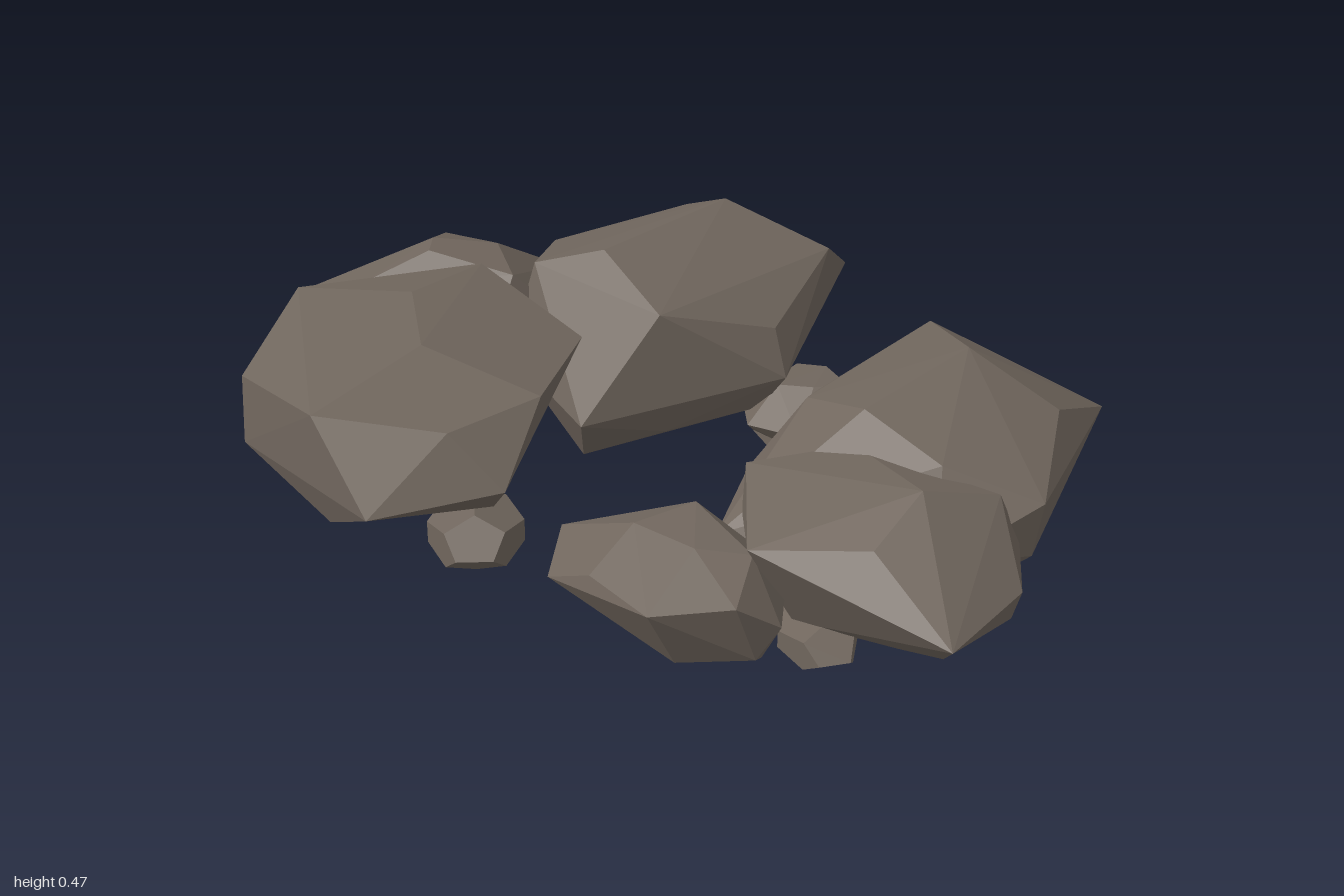
import * as THREE from 'three';
import { ConvexGeometry } from 'three/addons/geometries/ConvexGeometry.js';

const stone = new THREE.MeshStandardMaterial({ color: 0x70665d, flatShading: true });
stone.name = 'stone';

// A chiselled boulder: the hull of its crown, waist and foot corners (x, y, z)
function boulder(name, crown, waist, foot) {
  const points = [...crown, ...waist, ...foot].map((p) => new THREE.Vector3(...p));
  const mesh = new THREE.Mesh(new ConvexGeometry(points), stone);
  mesh.name = name;
  return mesh;
}

// A small flattened, faceted pebble
function pebble(name, [x, y, z], [sx, sy, sz], turn) {
  const mesh = new THREE.Mesh(new THREE.DodecahedronGeometry(1), stone);
  mesh.name = name;
  mesh.position.set(x, y, z);
  mesh.scale.set(sx, sy, sz);
  mesh.rotation.y = turn;
  return mesh;
}

export function createModel() {
  const ring = new THREE.Group();
  ring.name = 'rockRing';

  // Large boulders
  ring.add(boulder('frontRightBoulder',
    [[-0.78, 0.38, 0.35], [-0.53, 0.4, 0.02], [-0.5, 0.43, 0.26], [-0.3, 0.435, 0.42], [-0.31, 0.39, 0.72], [-0.09, 0.36, 0.55], [-0.03, 0.38, 0.34], [-0.17, 0.36, 0.07]],
    [[-0.83, 0.25, 0.2], [-0.63, 0.33, 0.64], [-0.1, 0.25, 0.77], [0.03, 0.25, 0.51], [-0.5, 0.25, -0.02]],
    [[-0.78, 0.16, 0.36], [-0.63, 0.17, 0.65], [-0.31, 0.12, 0.69], [-0.55, 0.05, 0.25], [-0.27, 0.06, 0.25], [-0.1, 0.12, 0.42]]));

  ring.add(boulder('backRightBoulder',
    [[-0.24, 0.475, -0.49], [-0.28, 0.465, -0.12], [-0.42, 0.38, -0.56], [-0.01, 0.385, -0.59], [-0.06, 0.4, -0.06], [-0.43, 0.41, -0.05]],
    [[-0.37, 0.26, -0.73], [-0.1, 0.25, -0.775], [0.07, 0.32, -0.3], [0.12, 0.22, -0.28], [-0.62, 0.31, -0.31], [-0.13, 0.17, 0.12], [-0.45, 0.2, 0.02]],
    [[-0.38, 0.05, -0.45], [-0.15, 0.02, -0.47], [-0.22, 0.02, 0.02], [-0.53, 0.12, -0.25], [-0.06, 0.1, -0.08], [0.05, 0.12, -0.28]]));

  ring.add(boulder('sideRightBoulder',
    [[-0.71, 0.4, 0], [-0.66, 0.405, 0.06], [-0.6, 0.385, -0.1], [-0.83, 0.32, -0.15], [-0.45, 0.39, 0], [-0.75, 0.34, 0.18]],
    [[-1, 0.225, 0.14], [-0.92, 0.25, -0.1], [-0.82, 0.24, -0.2], [-0.6, 0.25, -0.31], [-0.35, 0.22, -0.15], [-0.4, 0.22, 0.15], [-0.75, 0.2, 0.21]],
    [[-0.82, 0.1, 0.05], [-0.72, 0.03, -0.01], [-0.55, 0.04, 0.08], [-0.55, 0.06, -0.13], [-0.75, 0.09, -0.12]]));

  ring.add(boulder('backLeftBoulder',
    [[0.57, 0.445, -0.32], [0.36, 0.37, -0.48], [0.77, 0.35, -0.37], [0.53, 0.41, -0.02], [0.36, 0.36, -0.05], [0.74, 0.37, 0]],
    [[0.47, 0.25, -0.63], [0.74, 0.25, -0.595], [0.85, 0.3, -0.2], [0.92, 0.31, -0.1], [0.9, 0.18, -0.1], [0.26, 0.27, -0.22], [0.21, 0.2, -0.2], [0.28, 0.2, 0.04], [0.37, 0.17, 0.25], [0.8, 0.2, 0.08]],
    [[0.5, 0.14, -0.45], [0.72, 0.14, -0.42], [0.78, 0.06, -0.08], [0.42, 0.06, -0.15], [0.42, 0.06, 0.03], [0.65, 0.05, 0.03]]));

  ring.add(boulder('sideLeftBoulder',
    [[0.78, 0.385, 0.12], [0.53, 0.34, 0.01], [0.78, 0.32, 0.27], [0.86, 0.34, -0.03], [0.38, 0.31, 0.17]],
    [[0.99, 0.22, 0.07], [0.97, 0.15, 0.07], [1, 0.21, 0.31], [0.56, 0.28, 0.38], [0.38, 0.2, 0.18], [0.88, 0.22, -0.08], [0.55, 0.2, -0.06]],
    [[0.92, 0.11, 0.22], [0.9, 0.11, -0.04], [0.78, 0.04, 0.17], [0.6, 0.08, 0.28], [0.55, 0.06, 0.08], [0.75, 0.04, 0.02]]));

  // Smaller rocks in the gaps
  ring.add(boulder('frontLeftRock',
    [[0.31, 0.26, 0.43], [0.36, 0.27, 0.3], [0.46, 0.26, 0.42], [0.55, 0.25, 0.35]],
    [[0.11, 0.17, 0.43], [0.2, 0.15, 0.565], [0.31, 0.2, 0.56], [0.48, 0.19, 0.58], [0.61, 0.21, 0.47], [0.65, 0.14, 0.38], [0.34, 0.16, 0.2], [0.55, 0.16, 0.24]],
    [[0.2, 0.08, 0.46], [0.31, 0.04, 0.47], [0.48, 0.04, 0.5], [0.62, 0.07, 0.42], [0.57, 0.01, 0.34], [0.3, 0.05, 0.34]]));

  ring.add(boulder('backRock',
    [[0.04, 0.17, -0.42], [0.11, 0.18, -0.44], [0.16, 0.19, -0.33], [0.21, 0.19, -0.39], [0.08, 0.18, -0.3]],
    [[0.02, 0.12, -0.45], [0.12, 0.12, -0.47], [0.23, 0.13, -0.42], [0.26, 0.13, -0.33], [0.2, 0.12, -0.23], [0.07, 0.11, -0.21], [-0.02, 0.1, -0.3]],
    [[0.06, 0.05, -0.39], [0.18, 0.05, -0.36], [0.16, 0.05, -0.27], [0.03, 0.05, -0.28]]));

  // Pebbles tucked beneath
  ring.add(pebble('frontPebble', [-0.12, 0.068, 0.455], [0.13, 0.072, 0.11], -0.8));
  ring.add(pebble('sidePebble', [0.64, 0.055, 0.25], [0.12, 0.055, 0.09], -0.6));
  ring.add(pebble('backPebble', [0.1, 0.075, -0.34], [0.17, 0.05, 0.1], -0.7));

  return ring;
}
